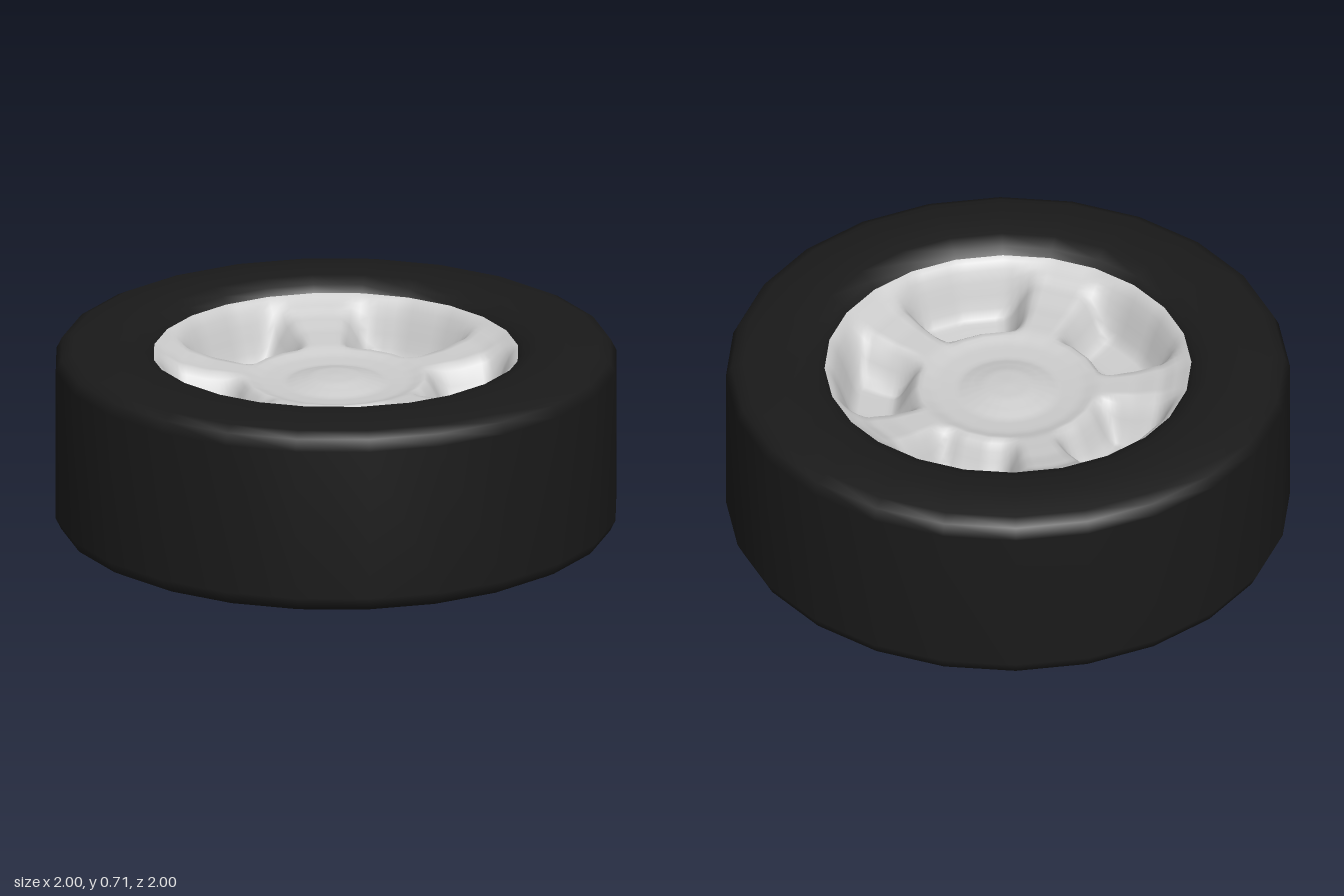
import * as THREE from 'three';
import { mergeVertices } from 'three/addons/utils/BufferGeometryUtils.js';

const HEIGHT = 0.71, SIDES = 24, RIM_RADIUS = 0.65;
const { smoothstep, degToRad } = THREE.MathUtils;

// Spoke face height by radius (y measured from the ground)
const FACE = [[0, 0.58], [0.08, 0.576], [0.14, 0.562], [0.18, 0.55], [0.26, 0.555], [0.33, 0.575],
  [0.45, 0.585], [0.55, 0.605], [0.61, 0.635], [0.65, 0.66]];

function faceHeight(r) {
  let i = 1;
  while (i < FACE.length - 1 && r > FACE[i][0]) i++;
  const [r0, y0] = FACE[i - 1], [r1, y1] = FACE[i];
  return THREE.MathUtils.lerp(y0, y1, smoothstep(r, r0, r1) * 0.4 + 0.6 * Math.min(1, (r - r0) / (r1 - r0)));
}

// Five soft pockets between the spokes, 1 inside and 0 outside
function pocket(r, angle) {
  const step = degToRad(72);
  const a = angle - degToRad(27);
  const off = Math.abs(a - Math.round(a / step) * step);
  const across = 1 - smoothstep(off, degToRad(15), degToRad(27));
  const along = smoothstep(r, 0.31, 0.42) * (1 - smoothstep(r, 0.54, 0.635));
  return across * along;
}

// Rim face: a fine disc raised by the rules above; flip = -1 mirrors the angle for the lower side
function rimFace(flip) {
  let geo = new THREE.RingGeometry(0, RIM_RADIUS, SIDES * 5, 39).rotateX(-Math.PI / 2);
  geo.deleteAttribute('uv');
  geo.deleteAttribute('normal');
  const p = geo.attributes.position;
  const side = (2 * Math.PI) / SIDES;
  for (let i = 0; i < p.count; i++) {
    const x = p.getX(i), z = p.getZ(i);
    const r = Math.hypot(x, z), a = Math.atan2(-z, x);
    // pull the outline onto the straight sides of the tyre opening
    const m = a - Math.floor(a / side) * side - side / 2;
    const squash = Math.cos(side / 2) / Math.cos(m);
    p.setXYZ(i, x * squash, faceHeight(r) - 0.15 * pocket(r, a * flip) - HEIGHT / 2, z * squash);
  }
  geo = mergeVertices(geo, 1e-5);
  geo.computeVertexNormals();
  if (flip < 0) geo.rotateX(Math.PI);
  return geo.translate(0, HEIGHT / 2, 0);
}

export function createModel() {
  const group = new THREE.Group();
  group.name = 'wheel';
  const add = (name, geo, mat) => {
    const mesh = new THREE.Mesh(geo, mat);
    mesh.name = name;
    group.add(mesh);
  };

  // Tyre: half profile from the lower rim edge to the tread, mirrored upward
  const half = [[0.65, 0.05], [0.67, 0.025], [0.72, 0.006], [0.82, 0], [0.94, 0.02], [0.98, 0.04], [1, 0.08]];
  const profile = [
    ...half.map(([r, y]) => new THREE.Vector2(r, y)),
    ...half.slice().reverse().map(([r, y]) => new THREE.Vector2(r, HEIGHT - y)),
  ];
  add('tyre', new THREE.LatheGeometry(profile, SIDES), new THREE.MeshStandardMaterial({ color: 0x1a1a1a }));

  // Rim: upper and lower faces
  const metal = new THREE.MeshStandardMaterial({ color: 0xcccccc });
  add('upperRim', rimFace(1), metal);
  add('lowerRim', rimFace(-1), metal);
  return group;
}
